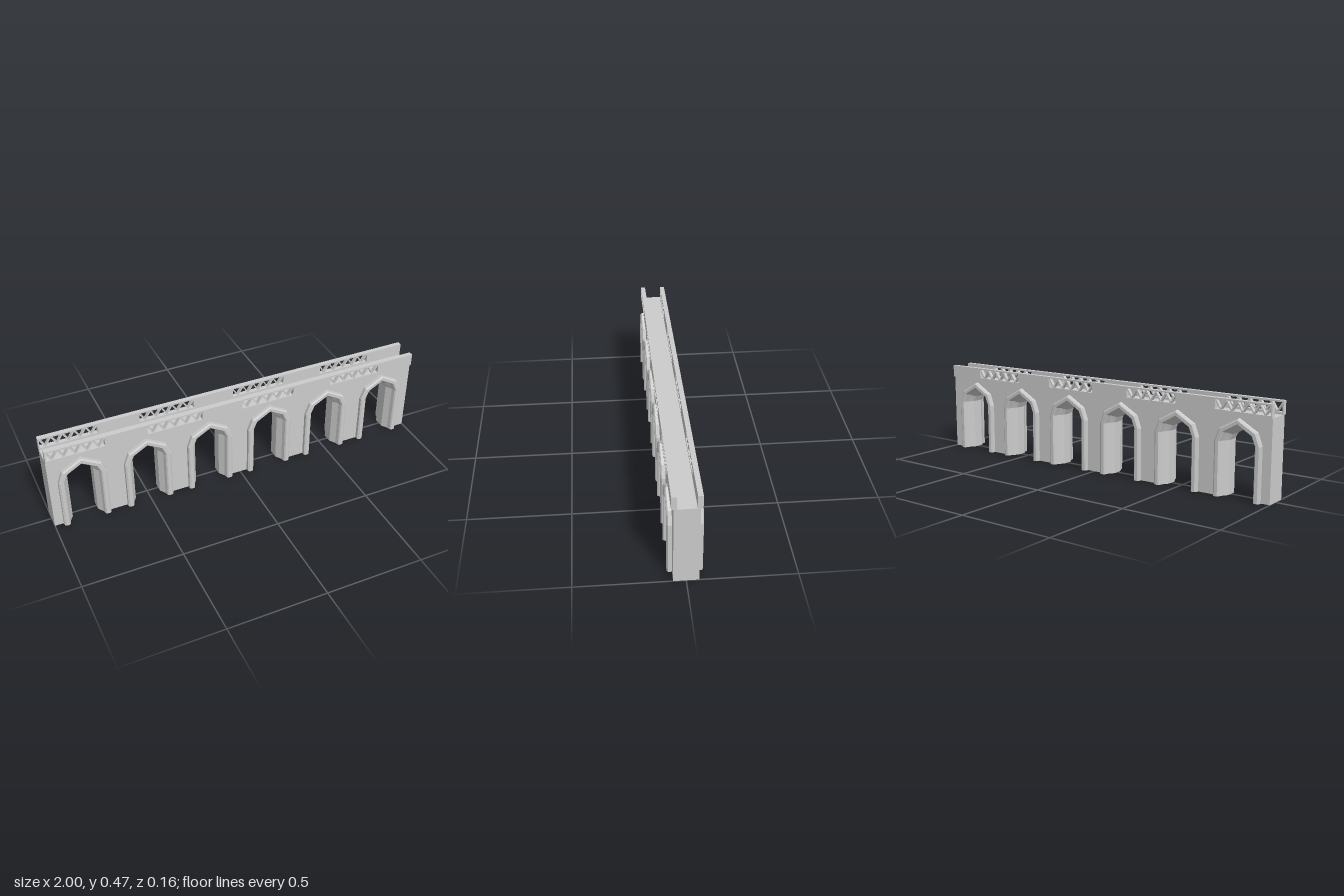
import * as THREE from 'three';

const material = new THREE.MeshStandardMaterial({ color: 0xcccccc, flatShading: true });
const LENGTH = 2, DECK = 0.4, TOP = 0.465;
const WALL_Z = 0.058;
const ARCHES = 6, PITCH = 0.331, FIRST_ARCH = -0.835;

// Pointed arch line, left foot to right foot, for a given half width
function archLine(w) {
  const d = 0.12 - w;
  const left = [[-w, 0], [-w, 0.265], [-(0.097 - 0.85 * d), 0.327 - 0.6 * d]];
  const right = left.map(([x, y]) => [-x, y]).reverse();
  return [...left, [0, 0.382 - 1.05 * d], ...right];
}

function addMesh(parent, geometry, name) {
  const mesh = new THREE.Mesh(geometry, material);
  mesh.name = name;
  parent.add(mesh);
  return mesh;
}

function extrude(shape, depth) {
  const g = new THREE.ExtrudeGeometry(shape, { depth, bevelEnabled: false });
  return g.translate(0, 0, -depth / 2);
}

// Arch surround and tapering lining: a closed [half width, z] section swept along the arch
function archGeometry() {
  const front = [[0.12, 0.04], [0.12, 0.075], [0.112, 0.081], [0.096, 0.081], [0.09, 0.075], [0.085, 0.056], [0.065, 0.026]];
  const section = [...front, ...front.map(([w, z]) => [w, -z]).reverse()];
  const lines = section.map(([w]) => archLine(w));
  const rows = lines[0].length, n = section.length;
  const pos = [], index = [];
  for (let i = 0; i < rows; i++) {
    section.forEach(([, z], j) => pos.push(lines[j][i][0], lines[j][i][1], z));
  }
  for (let i = 0; i < rows - 1; i++) {
    for (let j = 0; j < n; j++) {
      const a = i * n + j, b = i * n + (j + 1) % n;
      index.push(a, b, a + n, b, b + n, a + n);
    }
  }
  // Feet, fanned from the outer edge
  [0, rows - 1].forEach((row) => {
    const c = pos.length / 3;
    pos.push(row ? 0.12 : -0.12, 0, 0);
    for (let j = 0; j < n; j++) {
      const a = row * n + j, b = row * n + (j + 1) % n;
      if (row) index.push(c, a, b);
      else index.push(c, b, a);
    }
  });
  const g = new THREE.BufferGeometry();
  g.setAttribute('position', new THREE.Float32BufferAttribute(pos, 3));
  g.setIndex(index);
  const flat = g.toNonIndexed();
  flat.computeVertexNormals();
  return flat;
}

// Parapet with four open panels, filled with zigzag bars
function createParapet(name) {
  const parapet = new THREE.Group();
  parapet.name = name;
  const depth = 0.024, low = 0.411, high = 0.457, width = 0.285, zigs = 10;
  const shape = new THREE.Shape([[-1, DECK], [1, DECK], [1, TOP], [-1, TOP]].map((p) => new THREE.Vector2(...p)));
  const step = width / zigs, rise = high - low;
  const bar = new THREE.BoxGeometry(Math.hypot(step, rise) + 0.003, 0.007, 0.018);
  for (let k = 0; k < 4; k++) {
    const x0 = -0.994 + k * 0.5, x1 = x0 + width;
    shape.holes.push(new THREE.Path([[x0, low], [x0, high], [x1, high], [x1, low]].map((p) => new THREE.Vector2(...p))));
    for (let i = 0; i < zigs; i++) {
      const m = addMesh(parapet, bar, 'latticeBar');
      m.position.set(x0 + (i + 0.5) * step, (low + high) / 2, 0);
      m.rotation.z = Math.atan2(rise, step) * (i % 2 ? 1 : -1);
    }
  }
  addMesh(parapet, extrude(shape, depth), 'parapetWall');
  return parapet;
}

export function createModel() {
  const bridge = new THREE.Group();
  bridge.name = 'archedBridge';

  // Wall with deck on top, notched for each arch
  const wall = new THREE.Shape();
  wall.moveTo(-LENGTH / 2, 0);
  const arch = archGeometry();
  for (let k = 0; k < ARCHES; k++) {
    const cx = FIRST_ARCH + k * PITCH;
    archLine(0.115).forEach(([x, y]) => wall.lineTo(cx + x, y));
    addMesh(bridge, arch, 'archSurround').position.x = cx;
  }
  wall.lineTo(LENGTH / 2, 0);
  wall.lineTo(LENGTH / 2, DECK);
  wall.lineTo(-LENGTH / 2, DECK);
  addMesh(bridge, extrude(wall, WALL_Z * 2), 'wallAndDeck');

  // Parapets along both edges, slightly overhanging
  [['frontParapet', 1], ['backParapet', -1]].forEach(([name, side]) => {
    const parapet = createParapet(name);
    parapet.position.z = side * 0.056;
    bridge.add(parapet);
  });
  return bridge;
}
